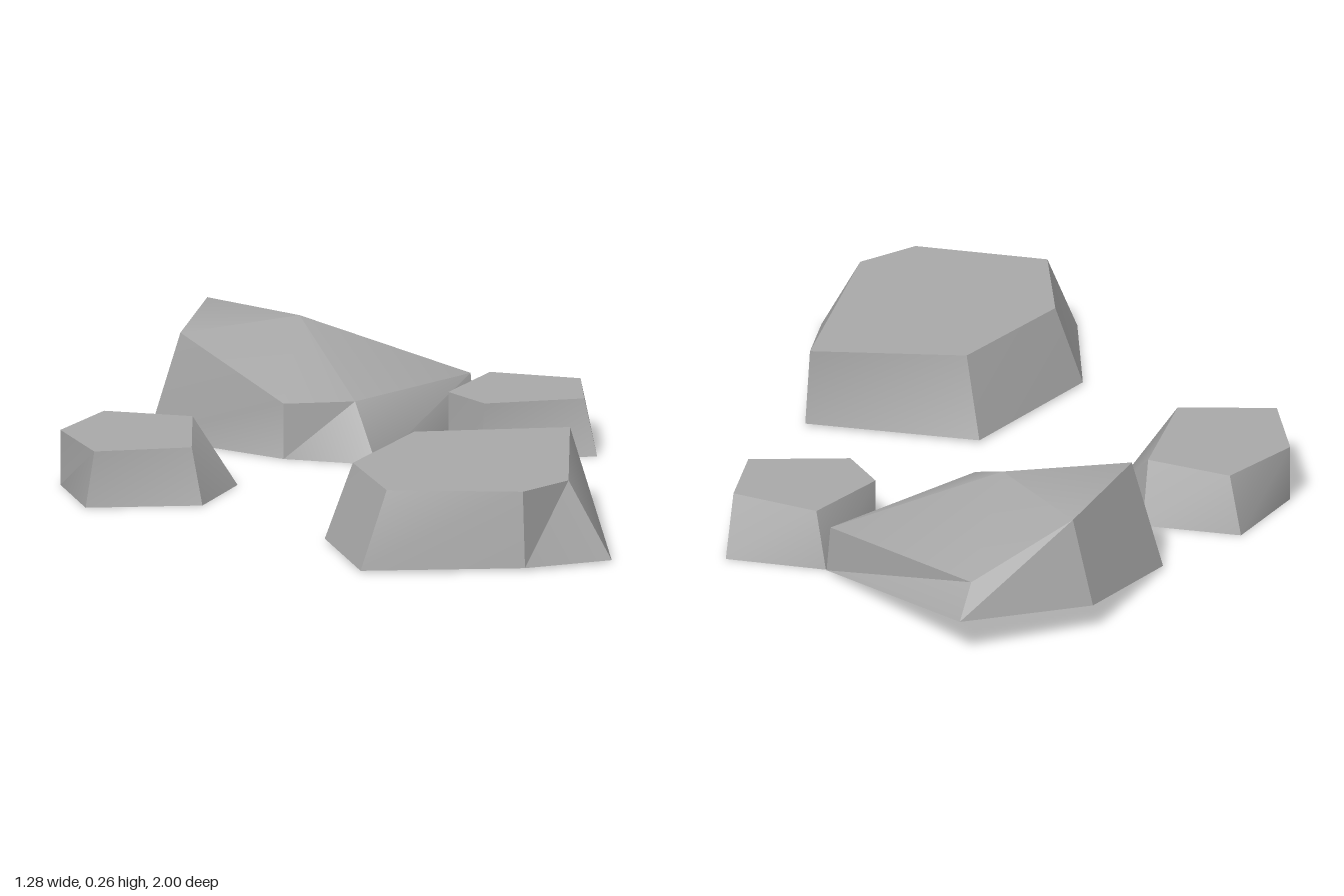
import * as THREE from 'three';
import { toCreasedNormals } from 'three/addons/utils/BufferGeometryUtils.js';

// Open-bottomed rock: walls between a base ring and a top ring, capped by a fan.
// Rings run clockwise seen from above, as [x, y, z] points.
function rockGeometry(base, top, peak) {
  const pos = [];
  const P = (p) => new THREE.Vector3(...p);
  const tri = (a, b, c) => {
    const n = P(b).sub(P(a)).cross(P(c).sub(P(a)));
    if (n.length() > 1e-7) pos.push(...a, ...b, ...c);
  };
  for (let i = 0; i < base.length; i++) {
    const j = (i + 1) % base.length;
    tri(base[j], base[i], top[i]);
    tri(base[j], top[i], top[j]);
    tri(peak, top[j], top[i]);
  }
  const geo = new THREE.BufferGeometry();
  geo.setAttribute('position', new THREE.Float32BufferAttribute(pos, 3));
  return toCreasedNormals(geo, THREE.MathUtils.degToRad(32));
}

// Lift [x, z] pairs to a constant height
const atHeight = (ring, y) => ring.map(([x, z]) => [x, y, z]);

// Rock with a level top
function flatRock(base, top, y0, y1) {
  const mean = (k) => top.reduce((s, p) => s + p[k], 0) / top.length;
  return rockGeometry(atHeight(base, y0), atHeight(top, y1), [mean(0), y1, mean(1)]);
}

export function createModel() {
  const group = new THREE.Group();
  const stone = new THREE.MeshStandardMaterial({ color: 0xa8a8a8, side: THREE.DoubleSide });
  stone.name = 'stone grey';

  const add = (name, geometry) => {
    const mesh = new THREE.Mesh(geometry, stone);
    mesh.name = name;
    group.add(mesh);
  };

  // Wide flat rock at the front
  add('frontRock', flatRock(
    [[0.135, 0.265], [0.55, 0.28], [0.64, 0.88], [0.44, 0.965], [0.06, 0.995], [-0.025, 0.66]],
    [[0.18, 0.335], [0.54, 0.285], [0.54, 0.84], [0.435, 0.96], [0.12, 0.945], [0.04, 0.66]],
    0.005, 0.185));

  // Small rock with a pointed side; two wall corners share one top corner
  add('smallPointedRock', flatRock(
    [[-0.575, -0.16], [-0.34, -0.15], [-0.23, 0.08], [-0.31, 0.295], [-0.58, 0.32], [-0.64, 0.08]],
    [[-0.54, -0.12], [-0.335, -0.065], [-0.335, 0.26], [-0.335, 0.26], [-0.56, 0.305], [-0.64, 0.08]],
    0, 0.13));

  // Smallest five-sided rock
  add('smallFiveSidedRock', flatRock(
    [[0.32, -0.565], [0.56, -0.55], [0.60, -0.22], [0.33, -0.195], [0.255, -0.32]],
    [[0.35, -0.53], [0.56, -0.465], [0.57, -0.255], [0.34, -0.2], [0.255, -0.32]],
    0, 0.13));

  // Large sloping rock at the back, with a tilted rim and a low peak
  add('largeBackRock', rockGeometry(
    [[-0.09, 0.08, -1], [0.315, 0.005, -0.58], [0.09, 0, -0.13],
      [-0.125, 0, -0.19], [-0.44, 0.005, -0.39], [-0.36, 0.06, -0.79]],
    [[-0.10, 0.148, -0.92], [0.305, 0.115, -0.585], [0.04, 0.13, -0.22],
      [-0.125, 0.13, -0.195], [-0.365, 0.255, -0.385], [-0.305, 0.255, -0.755]],
    [-0.09, 0.265, -0.525]));

  return group;
}
